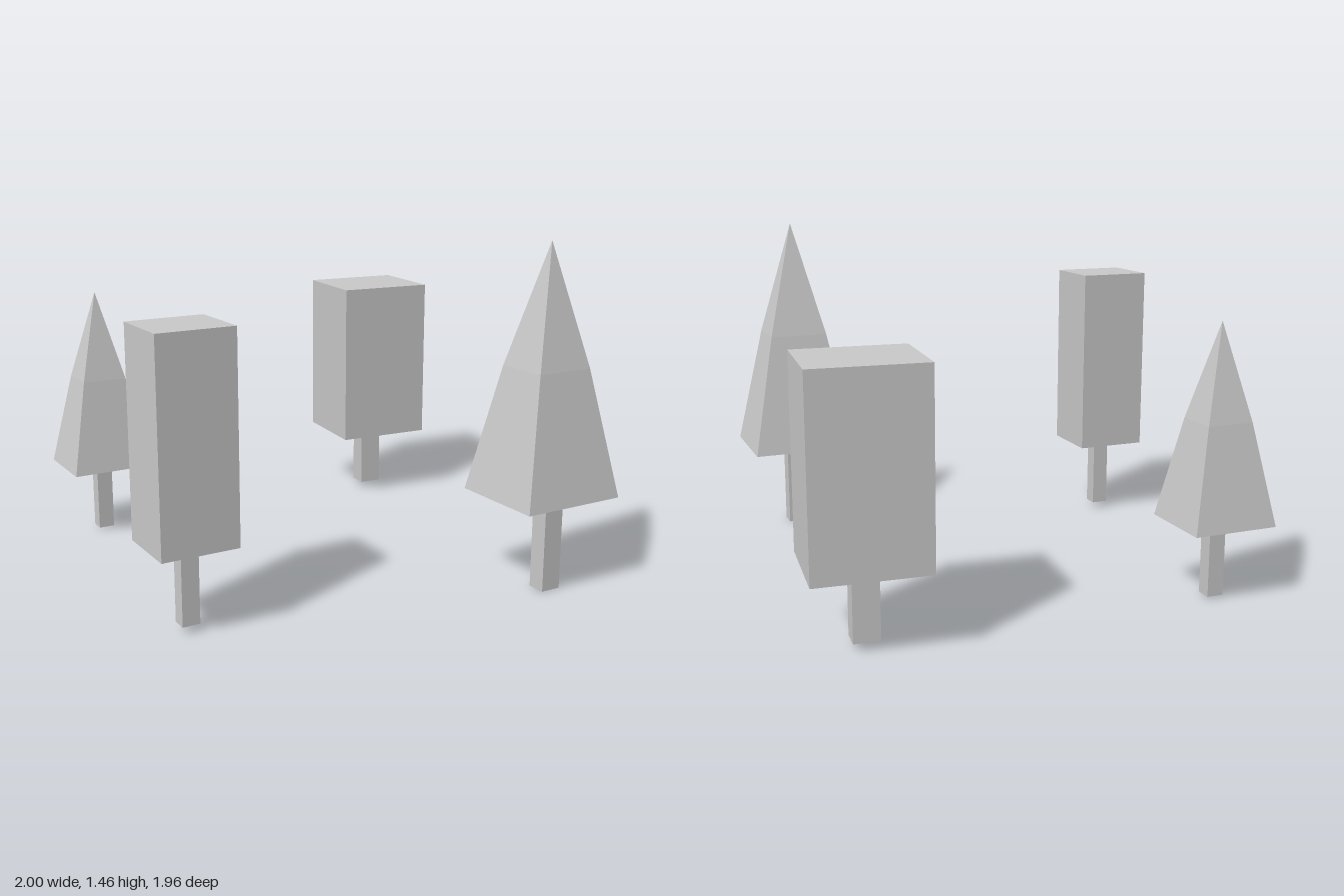
import * as THREE from 'three';

const material = new THREE.MeshStandardMaterial({ color: 0xcccccc, flatShading: true, side: THREE.DoubleSide });
const STRETCH_X = 1.125; // every tree is a little wider than deep

// Four-sided solid from [side length, height] pairs, listed bottom to top
function squareLathe(name, profile) {
  const points = profile.map(([side, y]) => new THREE.Vector2(side / Math.SQRT2, y));
  const mesh = new THREE.Mesh(new THREE.LatheGeometry(points, 4, Math.PI / 4), material);
  mesh.name = name;
  return mesh;
}

// Trunk: square tube, open at both ends
function trunk(side, y0, y1) {
  return squareLathe('trunk', [[side, y0], [side, y1]]);
}

// Block foliage: closed on top, open underneath
function blockFoliage(side, y0, y1) {
  return squareLathe('blockFoliage', [[side, y0], [side, y1], [0, y1]]);
}

// Conifer foliage: closed base, steepening slightly halfway up
function coniferFoliage(side, y0, y1) {
  const yMid = y0 + (y1 - y0) * 0.512;
  return squareLathe('coniferFoliage', [[0, y0], [side, y0], [side * 0.55, yMid], [0, y1]]);
}

const trees = [
  { name: 'frontBlockTree', make: blockFoliage, x: -0.84, z: 0.457, side: 0.286, bottom: 0.353, top: 1.203, trunkSide: 0.066, ground: 0.03 },
  { name: 'backBlockTree', make: blockFoliage, x: 0.756, z: -0.762, side: 0.402, bottom: 0.32, top: 1.09, trunkSide: 0.094, ground: 0.027, turn: -5 },
  { name: 'frontConifer', make: coniferFoliage, x: 0.637, z: 0.771, side: 0.42, bottom: 0.402, top: 1.455, trunkSide: 0.08, ground: 0, trunkShift: 0.05 },
  { name: 'backConifer', make: coniferFoliage, x: -0.706, z: -0.82, side: 0.326, bottom: 0.323, top: 1.142, trunkSide: 0.064, ground: 0.01 },
];

export function createModel() {
  const model = new THREE.Group();
  model.name = 'treeGroup';
  for (const t of trees) {
    const tree = new THREE.Group();
    tree.name = t.name;
    const crown = t.make(t.side, t.bottom, t.top);
    const stem = trunk(t.trunkSide, t.ground, t.bottom);
    stem.position.z = t.trunkShift ?? 0;
    for (const part of [crown, stem]) part.rotation.y = THREE.MathUtils.degToRad(t.turn ?? 0);
    tree.add(crown, stem);
    tree.scale.x = STRETCH_X;
    tree.position.set(t.x, 0, t.z);
    model.add(tree);
  }
  return model;
}
